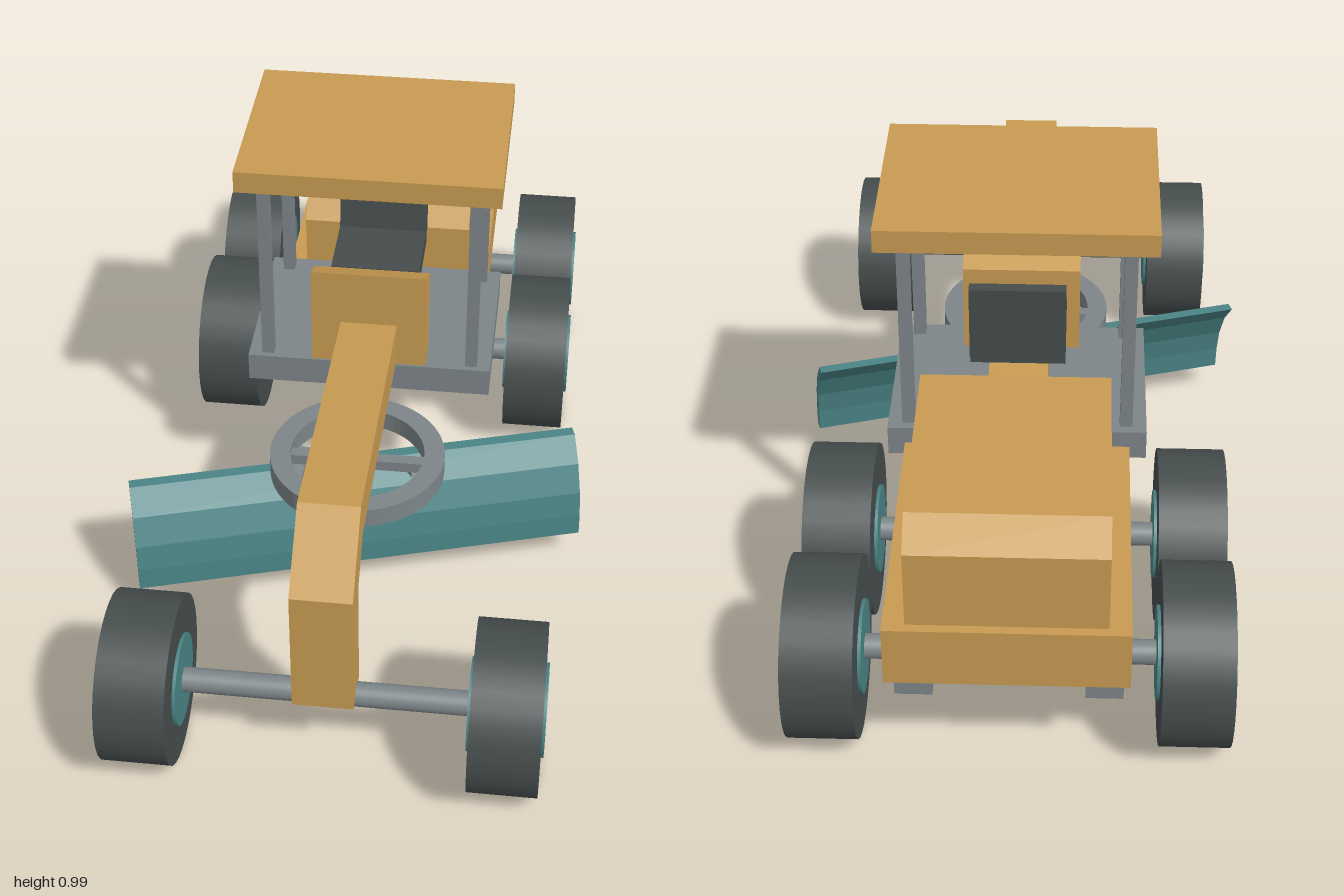
import * as THREE from 'three';

const mat = (color, flatShading = false) => new THREE.MeshStandardMaterial({ color, flatShading });
const PAINT = mat(0xc89b52, true);
const TEAL = mat(0x4a8486);
const STEEL = mat(0x7d8588);
const RUBBER = mat(0x464d4d);

export function createModel() {
  const root = new THREE.Group();
  root.name = 'roadGrader';

  const add = (name, geometry, material, x = 0, y = 0, z = 0, parent = root) => {
    const mesh = new THREE.Mesh(geometry, material);
    mesh.name = name;
    mesh.position.set(x, y, z);
    parent.add(mesh);
    return mesh;
  };

  // Box given by its ranges along y and z, centred on x
  const box = (name, material, width, y0, y1, z0, z1, x = 0) =>
    add(name, new THREE.BoxGeometry(width, y1 - y0, z1 - z0), material, x, (y0 + y1) / 2, (z0 + z1) / 2);

  // Side profile of [z, y] points, extruded across x
  const profile = (points, width) => {
    const shape = new THREE.Shape(points.map(([z, y]) => new THREE.Vector2(z, y)));
    return new THREE.ExtrudeGeometry(shape, { depth: width, bevelEnabled: false })
      .translate(0, 0, -width / 2).rotateY(-Math.PI / 2);
  };

  const crossRod = (radius, length) =>
    new THREE.CylinderGeometry(radius, radius, length, 32).rotateZ(Math.PI / 2);

  // Axles with a wheel at each end
  const axle = (name, radius, z) => {
    const group = new THREE.Group();
    group.name = name;
    group.position.set(0, radius, z);
    root.add(group);
    add('axleRod', crossRod(0.027, 0.64), STEEL, 0, 0, 0, group);
    for (const side of [-1, 1]) {
      add('tyre', crossRod(radius, 0.15), RUBBER, side * 0.39, 0, 0, group);
      add('hub', crossRod(0.1, 0.164), TEAL, side * 0.39, 0, 0, group);
    }
  };
  axle('frontAxle', 0.185, 0.815);
  axle('middleAxle', 0.195, -0.42);
  axle('rearAxle', 0.195, -0.805);

  // Gooseneck main beam
  add('mainBeam', profile([
    [0.865, 0.19], [0.865, 0.5], [0.72, 0.635], [-0.35, 0.54], [-0.35, 0.435],
    [0.69, 0.535], [0.77, 0.46], [0.77, 0.19],
  ], 0.132), PAINT);

  // Rear frame, engine hood and wheel beams
  box('rearFrame', PAINT, 0.5, 0.28, 0.42, -1, -0.27);
  box('frameNeck', PAINT, 0.2, 0.365, 0.43, -0.4, -0.225);
  add('engineHood', profile([
    [-0.39, 0.41], [-0.98, 0.41], [-0.98, 0.6], [-0.915, 0.655], [-0.455, 0.655], [-0.39, 0.58],
  ], 0.408), PAINT);
  for (const side of [-1, 1]) box('wheelBeam', STEEL, 0.08, 0.15, 0.285, -0.9, -0.33, side * 0.2);

  // Cab: platform, posts and roof
  box('cabPlatform', STEEL, 0.575, 0.39, 0.46, -0.39, 0.02);
  box('cabRoof', PAINT, 0.6, 0.935, 0.988, -0.415, 0.045);
  for (const x of [-0.242, 0.242])
    for (const z of [-0.008, -0.355]) box('roofPost', STEEL, 0.028, 0.455, 0.94, z - 0.014, z + 0.014, x);

  // Control console and seat
  add('console', profile([[0.015, 0.455], [0.015, 0.71], [-0.065, 0.672], [-0.065, 0.455]], 0.27), PAINT);
  add('seatPedestal', new THREE.CylinderGeometry(0.04, 0.04, 0.14, 24), STEEL, 0, 0.525, -0.21);
  box('seatCushion', RUBBER, 0.21, 0.59, 0.635, -0.315, -0.12);
  add('seatBack', profile([[-0.288, 0.62], [-0.318, 0.8], [-0.346, 0.8], [-0.337, 0.615]], 0.21), RUBBER);

  // Turning circle under the beam
  const ring = new THREE.Shape().absarc(0, 0, 0.202, 0, Math.PI * 2);
  ring.holes.push(new THREE.Path().absarc(0, 0, 0.155, 0, Math.PI * 2, true));
  add('turningRing', new THREE.ExtrudeGeometry(ring, { depth: 0.048, bevelEnabled: false, curveSegments: 32 })
    .rotateX(-Math.PI / 2), STEEL, 0, 0.322, 0.24);
  add('turningPost', new THREE.CylinderGeometry(0.032, 0.032, 0.17, 24), STEEL, 0, 0.415, 0.245);
  box('ringCrossbar', STEEL, 0.33, 0.332, 0.358, 0.226, 0.254);

  // Struts from the ring down to the blade
  const strut = (from, to) => {
    const a = new THREE.Vector3(...from), b = new THREE.Vector3(...to);
    const mesh = add('bladeStrut', new THREE.BoxGeometry(0.028, 0.028, a.distanceTo(b)), STEEL);
    mesh.position.copy(a).add(b).multiplyScalar(0.5);
    mesh.lookAt(b);
  };
  strut([0.14, 0.335, 0.25], [0.115, 0.29, 0.17]);
  strut([-0.125, 0.335, 0.2], [-0.14, 0.295, 0.265]);

  // Curved blade, set at an angle
  const face = [[0.06, 0.075], [0.057, 0.13], [0.045, 0.19], [0.015, 0.255], [-0.03, 0.31]];
  const back = face.map(([z, y]) => [z - 0.026, y]).reverse();
  add('blade', profile([...face, ...back], 1.06), TEAL, 0, 0, 0.23).rotation.y = 0.297;

  return root;
}
